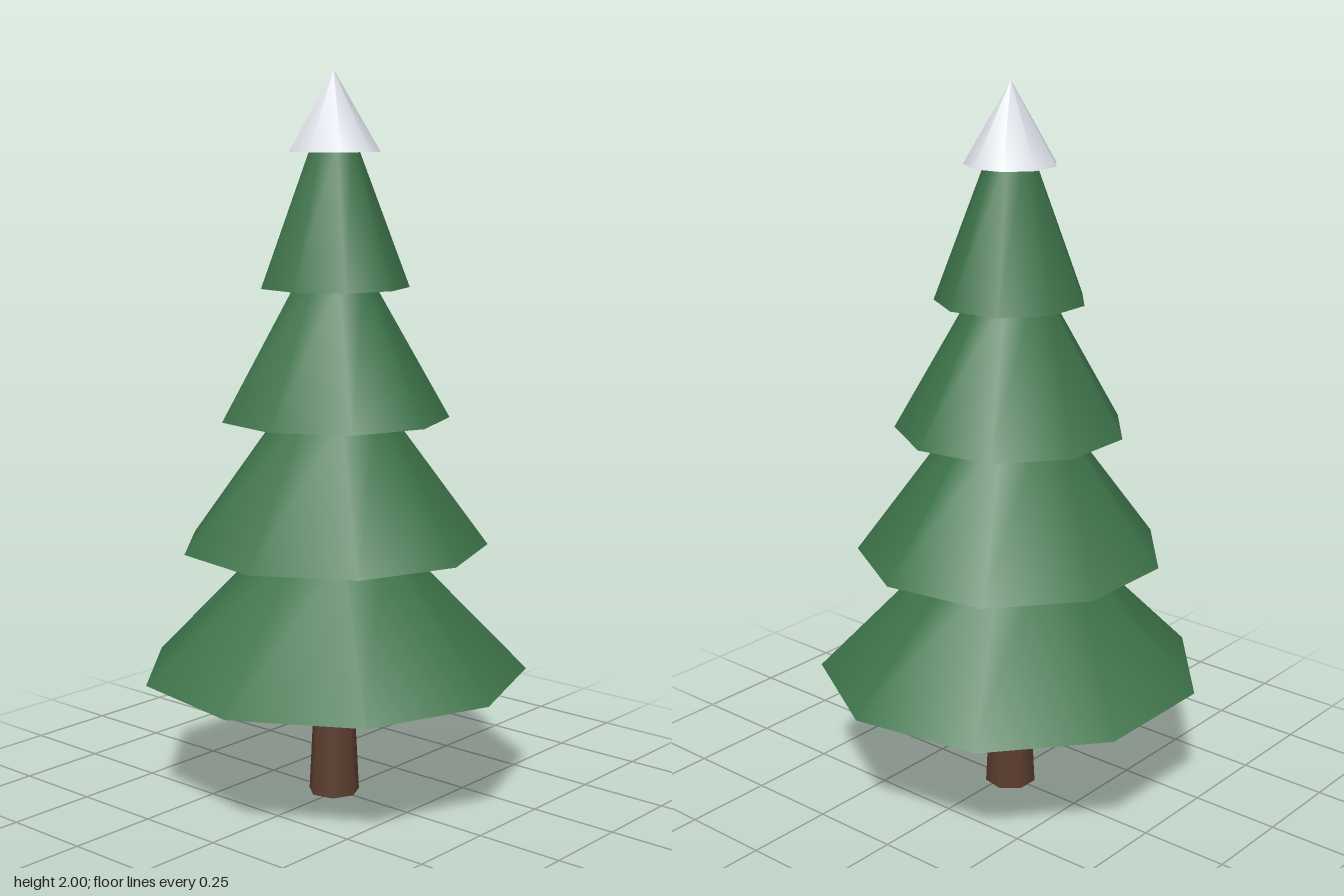
import * as THREE from 'three';

const mat = (name, color) => {
  const m = new THREE.MeshStandardMaterial({ color });
  m.name = name;
  return m;
};

export function createModel() {
  const tree = new THREE.Group();
  tree.name = 'pineTree';
  const bark = mat('bark brown', 0x5c3d2e);
  const needles = mat('needle green', 0x3d7349);
  const snow = mat('snow white', 0xdfe3ea);

  // Tapered part standing on y0, with one corner towards the front
  const addPart = (name, material, rTop, rBottom, y0, y1, sides) => {
    const mesh = new THREE.Mesh(
      new THREE.CylinderGeometry(rTop, rBottom, y1 - y0, sides), material);
    mesh.name = name;
    // The odd-sided outline is centred by moving the axis slightly back
    mesh.position.set(0, (y0 + y1) / 2, -0.016);
    tree.add(mesh);
  };

  // Trunk
  addPart('trunk', bark, 0.053, 0.072, 0, 0.37, 7);

  // Four tiers of branches: [bottom radius, radius at the next tier]
  const tiers = [[0.537, 0.19], [0.425, 0.164], [0.316, 0.115], [0.205, 0.072]];
  const step = 0.355;
  tiers.forEach(([rBottom, rTop], i) => {
    const y = 0.36 + i * step;
    // Each tier runs a little way up inside the one above
    const rise = 1.05;
    addPart(`branchTier${i + 1}`, needles, rBottom + (rTop - rBottom) * rise, rBottom,
      y, y + step * rise, 9);
  });

  // Snowy tip
  addPart('snowCap', snow, 0, 0.125, 1.785, 2, 9);

  return tree;
}
